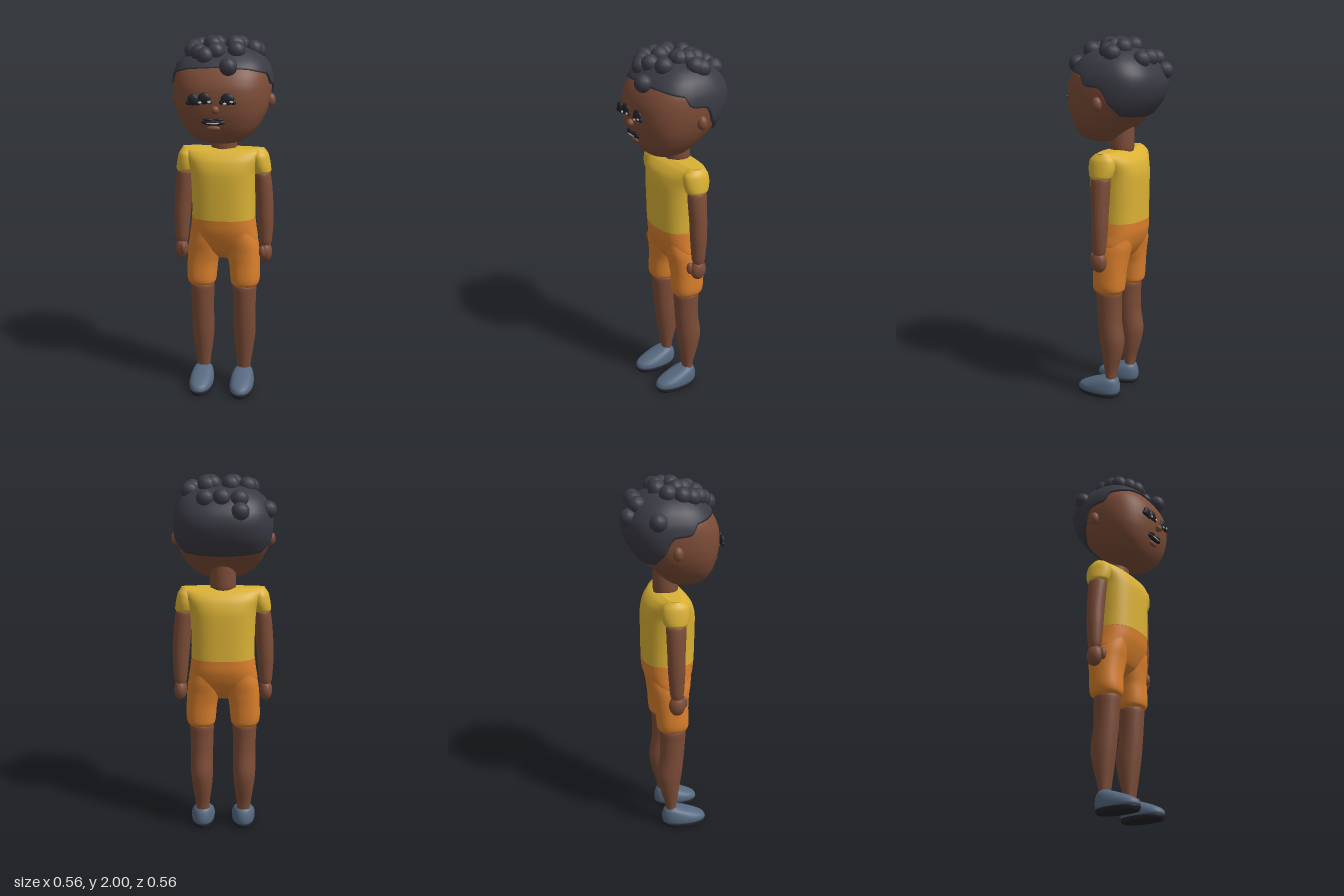
import * as THREE from 'three';

const mat = (name, color) => {
  const m = new THREE.MeshStandardMaterial({ color });
  m.name = name;
  return m;
};

// Smooth path through cross-sections [y, centreX, halfWidth, zFront, zBack]
function makePath(rings) {
  const spline = pick => new THREE.CatmullRomCurve3(rings.map(pick), false, 'catmullrom', 0.4);
  const a = spline(r => new THREE.Vector3(r[0], r[1], r[2]));
  const b = spline(r => new THREE.Vector3(r[3], r[4], 0));
  return t => {
    const p = a.getPoint(t), q = b.getPoint(t);
    return { y: p.x, cx: p.y, rx: Math.max(p.z, 0.001), cz: (q.x + q.y) / 2, rz: Math.max((q.x - q.y) / 2, 0.001) };
  };
}

// Point on a rounded-square section; angle 0 is the front
function sectionPoint(s, angle, power, grow = 0) {
  const f = v => Math.sign(v) * Math.pow(Math.abs(v), 2 / power);
  return [s.cx + (s.rx + grow) * f(Math.sin(angle)), s.y, s.cz + (s.rz + grow) * f(Math.cos(angle))];
}

// Closed-round surface from a point rule, with optional flat ends
function skinSurface(cols, rows, point, caps) {
  const pos = [], idx = [];
  for (let j = 0; j <= rows; j++)
    for (let i = 0; i < cols; i++) pos.push(...point(i / cols * Math.PI * 2, j));
  for (let j = 0; j < rows; j++)
    for (let i = 0; i < cols; i++) {
      const a = j * cols + i, b = j * cols + (i + 1) % cols;
      idx.push(a, b, a + cols, b, b + cols, a + cols);
    }
  if (caps) for (const j of [0, rows]) {
    const base = pos.length / 3, c = [0, 0, 0];
    for (let i = 0; i < cols; i++) {
      const p = point(i / cols * Math.PI * 2, j);
      p.forEach((v, k) => { c[k] += v / cols; });
      pos.push(...p);
    }
    pos.push(...c);
    for (let i = 0; i < cols; i++) {
      const a = base + i, b = base + (i + 1) % cols;
      j ? idx.push(base + cols, a, b) : idx.push(base + cols, b, a);
    }
  }
  const g = new THREE.BufferGeometry();
  g.setAttribute('position', new THREE.Float32BufferAttribute(pos, 3));
  g.setIndex(idx);
  g.computeVertexNormals();
  return g;
}

function loft(rings, power = 2, cols = 28) {
  const path = makePath(rings), rows = (rings.length - 1) * 4;
  return skinSurface(cols, rows, (a, j) => sectionPoint(path(j / rows), a, power), true);
}

export function createModel() {
  const model = new THREE.Group();
  model.name = 'child';
  const skin = mat('brown skin', 0x7c4c37), hairMat = mat('dark hair', 0x3a3a44);
  const yellow = mat('yellow shirt', 0xdab135), orange = mat('orange shorts', 0xd97f2c);
  const blue = mat('blue shoe', 0x566980), black = mat('black', 0x24242a);
  const white = mat('pale grey', 0xc9c9c9);

  const add = (name, geo, material, parent = model) => {
    const m = new THREE.Mesh(geo, material);
    m.name = name;
    parent.add(m);
    return m;
  };
  const ball = (name, material, p, r, parent) => {
    const m = add(name, new THREE.SphereGeometry(1, 20, 14), material, parent);
    m.position.set(...p);
    m.scale.set(...r);
    return m;
  };

  // Head
  const headRings = [
    [1.44, 0, 0.03, 0.1, 0.03], [1.447, 0, 0.09, 0.14, -0.01], [1.475, 0, 0.15, 0.18, -0.05],
    [1.53, 0, 0.2, 0.213, -0.11], [1.6, 0, 0.236, 0.235, -0.18], [1.67, 0, 0.253, 0.244, -0.232],
    [1.74, 0, 0.257, 0.24, -0.255], [1.8, 0, 0.25, 0.217, -0.247], [1.86, 0, 0.222, 0.175, -0.208],
    [1.905, 0, 0.17, 0.12, -0.155], [1.93, 0, 0.1, 0.06, -0.095], [1.937, 0, 0.003, -0.012, -0.018],
  ];
  const head = new THREE.Group();
  head.name = 'head';
  model.add(head);
  add('skull', loft(headRings, 2.5, 48), skin, head);
  const headPath = makePath(headRings);
  const heightToT = y => {
    let lo = 0, hi = 1;
    for (let k = 0; k < 24; k++) {
      const mid = (lo + hi) / 2;
      headPath(mid).y < y ? lo = mid : hi = mid;
    }
    return lo;
  };

  // Hair cap, trimmed along a hairline given as [degrees from front, height]
  const hairline = [[0, 1.842], [35, 1.832], [72, 1.805], [80, 1.752], [95, 1.74], [106, 1.66], [130, 1.595], [181, 1.58]];
  const hairStart = angle => {
    const d = Math.abs((angle * 180 / Math.PI + 180) % 360 - 180);
    const k = hairline.findIndex(h => h[0] > d), [d0, y0] = hairline[k - 1], [d1, y1] = hairline[k];
    return heightToT(y0 + (y1 - y0) * (d - d0) / (d1 - d0));
  };
  add('hairCap', skinSurface(96, 25, (a, j) => {
    const t0 = hairStart(a), v = Math.max(0, j - 1) / 24;
    const p = sectionPoint(headPath(t0 + (1 - t0) * v), a, 2.5, j ? 0.011 : -0.005);
    p[1] += 0.01 * v;
    return p;
  }), hairMat, head);

  // Curls sit on the crown; the strays carry their own height
  const curls = [
    [-0.09, -0.24, 1.82], [-0.235, -0.115, 1.82], [0.06, 0.205, 1.85], [-0.085, -0.195], [0.005, -0.197], [0.09, -0.192],
    [-0.04, -0.085], [-0.128, -0.045], [-0.147, 0.025], [-0.145, 0.075], [-0.058, 0.01], [-0.04, 0.05],
    [-0.105, 0.115], [-0.07, 0.145], [-0.016, 0.12], [0.086, 0.1], [0.055, -0.07], [0.085, -0.085],
    [0.092, -0.035], [0.063, 0.01], [0.076, 0.005], [0.175, -0.065], [0.16, -0.035],
  ];
  const curlGeo = new THREE.SphereGeometry(0.047, 12, 9);
  for (const [x, z, y] of curls) {
    let t = 1;
    const outside = s => Math.abs(x / s.rx) ** 2.5 + Math.abs((z - s.cz) / s.rz) ** 2.5 > 1;
    while (t > 0.5 && outside(headPath(t))) t -= 0.004;
    add('curl', curlGeo, hairMat, head).position.set(x, y ?? headPath(t).y + 0.016, z);
  }

  // Face
  const face = new THREE.Group();
  face.name = 'face';
  model.add(face);
  ball('nose', skin, [0, 1.635, 0.25], [0.021, 0.021, 0.02], face);
  for (const [x, y, r] of [[-0.115, 1.685, 0.028], [-0.057, 1.692, 0.033], [0.063, 1.69, 0.036]]) {
    ball('eye', black, [x, y, 0.243], [r, 0.03, 0.014], face);
    for (const s of [-1, 1])
      ball('lash', black, [x + s * r * 0.85, y - 0.016, 0.242], [0.014, 0.013, 0.01], face);
  }
  for (const [x, y] of [[-0.078, 1.672], [-0.03, 1.675], [0.05, 1.668], [0.084, 1.678]])
    ball('eyeGlint', white, [x, y, 0.254], [0.01, 0.006, 0.004], face);
  ball('mouth', black, [-0.013, 1.568, 0.226], [0.063, 0.016, 0.016], face);
  for (const s of [-1, 1])
    ball('lip', black, [-0.013 + s * 0.028, 1.583, 0.23], [0.025, 0.008, 0.012], face);
  ball('teeth', white, [-0.013, 1.565, 0.241], [0.035, 0.004, 0.003], face);
  ball('lowerLip', skin, [-0.013, 1.536, 0.218], [0.035, 0.014, 0.012], face);

  // Neck and shirt
  add('neck', loft([[1.375, 0, 0.06, 0.03, -0.09], [1.41, 0, 0.07, 0.035, -0.1], [1.52, 0, 0.068, 0.035, -0.1]]), skin);
  add('shirt', loft([
    [1.015, 0, 0.174, 0.116, -0.166], [1.1, 0, 0.173, 0.118, -0.166], [1.2, 0, 0.176, 0.12, -0.167],
    [1.28, 0, 0.183, 0.118, -0.165], [1.34, 0, 0.203, 0.1, -0.148], [1.38, 0, 0.222, 0.065, -0.113],
    [1.4, 0, 0.227, 0.025, -0.07],
  ], 2.6, 40), yellow);

  // Hips of the shorts
  add('shortsHips', loft([
    [0.775, 0, 0.06, 0.0, -0.05], [0.82, 0, 0.15, 0.055, -0.1], [0.88, 0, 0.19, 0.085, -0.138],
    [0.95, 0, 0.182, 0.108, -0.162], [1.015, 0, 0.174, 0.116, -0.166],
  ], 2.5, 40), orange);

  // Paired parts
  for (const s of [1, -1]) {
    const side = new THREE.Group();
    side.name = s > 0 ? 'leftSide' : 'rightSide';
    model.add(side);
    const limb = (name, material, rings, power) =>
      add(name, loft(rings.map(([y, x, ...r]) => [y, x * s, ...r]), power), material, side);

    ball('ear', skin, [0.255 * s, 1.66, -0.02], [0.025, 0.037, 0.027], side);
    limb('sleeve', yellow, [
      [1.267, 0.214, 0.042, 0.035, -0.075], [1.28, 0.212, 0.05, 0.045, -0.085], [1.32, 0.205, 0.052, 0.053, -0.095],
      [1.365, 0.2, 0.047, 0.05, -0.09], [1.395, 0.195, 0.033, 0.02, -0.065],
    ]);
    limb('arm', skin, [
      [0.86, 0.236, 0.03, 0.01, -0.05], [0.89, 0.236, 0.036, 0.018, -0.057], [1.0, 0.234, 0.045, 0.025, -0.066],
      [1.1, 0.228, 0.048, 0.027, -0.069], [1.2, 0.22, 0.048, 0.032, -0.072], [1.26, 0.214, 0.045, 0.033, -0.073],
      [1.275, 0.212, 0.035, 0.02, -0.06],
    ]);
    ball('hand', skin, [0.238 * s, 0.818, -0.018], [0.036, 0.058, 0.045], side);
    ball('thumb', skin, [0.222 * s, 0.828, 0.025], [0.018, 0.034, 0.018], side);
    limb('shortsLeg', orange, [
      [0.617, 0.122, 0.06, 0.045, -0.085], [0.635, 0.122, 0.077, 0.065, -0.103], [0.67, 0.123, 0.083, 0.07, -0.108],
      [0.75, 0.118, 0.086, 0.068, -0.114], [0.82, 0.106, 0.094, 0.074, -0.124], [0.88, 0.1, 0.092, 0.084, -0.136],
      [0.95, 0.09, 0.08, 0.09, -0.14],
    ], 2.3);
    limb('lowerLeg', skin, [
      [0.1, 0.117, 0.036, 0.0, -0.055], [0.16, 0.118, 0.042, 0.008, -0.066], [0.25, 0.119, 0.055, 0.022, -0.092],
      [0.34, 0.12, 0.063, 0.035, -0.106], [0.45, 0.12, 0.063, 0.046, -0.09], [0.55, 0.12, 0.065, 0.053, -0.088],
      [0.615, 0.12, 0.067, 0.056, -0.09], [0.63, 0.12, 0.05, 0.04, -0.07],
    ]);
    limb('shoe', blue, [
      [0.02, 0.117, 0.06, 0.17, -0.07], [0.032, 0.117, 0.066, 0.177, -0.076], [0.055, 0.117, 0.067, 0.165, -0.078],
      [0.08, 0.117, 0.062, 0.115, -0.074], [0.102, 0.117, 0.052, 0.055, -0.065], [0.118, 0.117, 0.034, 0.01, -0.05],
    ], 2.2);
    limb('sole', black, [
      [0, 0.117, 0.06, 0.17, -0.068], [0.012, 0.117, 0.065, 0.176, -0.074], [0.022, 0.117, 0.065, 0.176, -0.074],
    ], 2.2);
  }
  return model;
}
